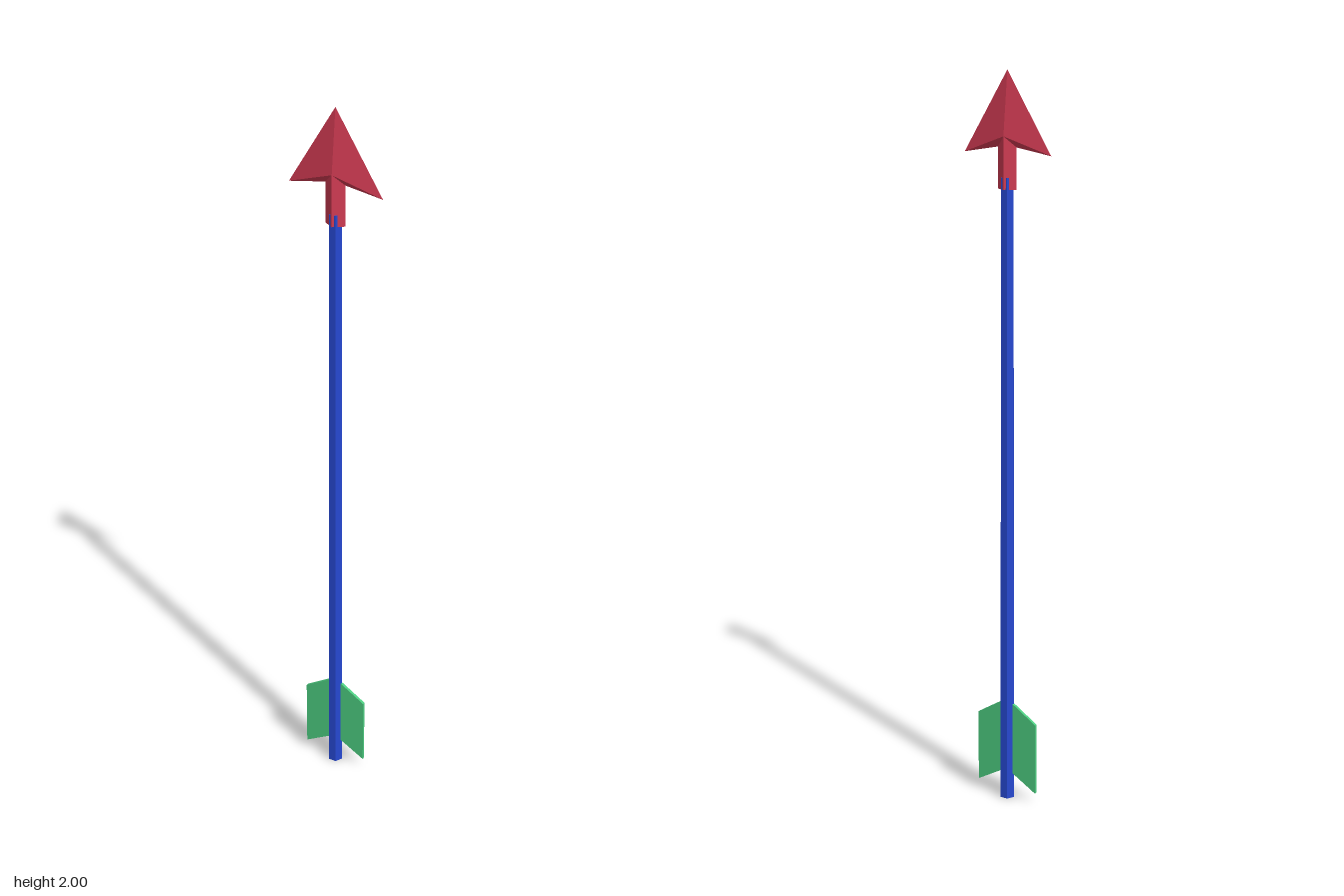
import * as THREE from 'three';

const paint = (color) => new THREE.MeshStandardMaterial({ color, flatShading: true, side: THREE.DoubleSide });

// Faceted geometry from triangles given as lists of corner points
function facets(triangles) {
  const geometry = new THREE.BufferGeometry();
  geometry.setAttribute('position', new THREE.Float32BufferAttribute(triangles.flat(2), 3));
  geometry.computeVertexNormals();
  return geometry;
}

// Barbed point and diamond-section socket, built from one quarter mirrored in x and z
function arrowheadGeometry() {
  const triangles = [];
  for (const sx of [1, -1]) {
    for (const sz of [1, -1]) {
      const tip = [0, 2, 0];
      const barb = [0.13 * sx, 1.79, 0];
      const ridge = [0, 1.835, 0.019 * sz];
      const neck = [0.028 * sx, 1.807, 0];
      const rimSide = [0.028 * sx, 1.7, 0];
      const rimFace = [0, 1.7, 0.019 * sz];
      const quarter = [
        [tip, ridge, barb],            // blade
        [ridge, neck, barb],           // underside of the barb
        [ridge, rimFace, neck],        // socket wall
        [rimFace, rimSide, neck],
        [rimFace, [0, 1.7, 0], rimSide], // socket end
      ];
      for (const [a, b, c] of quarter) triangles.push(sx * sz > 0 ? [a, b, c] : [a, c, b]);
    }
  }
  return facets(triangles);
}

// Swept-back fin plate on the +x side
function finGeometry() {
  const shape = new THREE.Shape([
    new THREE.Vector2(0, 0.085),
    new THREE.Vector2(0.093, 0.03),
    new THREE.Vector2(0.093, 0.235),
    new THREE.Vector2(0, 0.295),
  ]);
  const depth = 0.008;
  return new THREE.ExtrudeGeometry(shape, { depth, bevelEnabled: false }).translate(0, 0, -depth / 2);
}

export function createModel() {
  const model = new THREE.Group();
  model.name = 'arrow';
  const add = (name, geometry, material) => {
    const mesh = new THREE.Mesh(geometry, material);
    mesh.name = name;
    model.add(mesh);
    return mesh;
  };

  // Tapered six-sided shaft with edges on the x axis
  const length = 1.73;
  const shaft = new THREE.CylinderGeometry(0.018, 0.022, length, 6, 1, false, Math.PI / 6);
  add('shaft', shaft.translate(0, length / 2, 0), paint(0x2648d0));

  add('arrowhead', arrowheadGeometry(), paint(0xd43c54));

  // Two fins, the second turned half way round the shaft
  const green = paint(0x4ccc80);
  add('leftFin', finGeometry(), green);
  add('rightFin', finGeometry(), green).rotation.y = Math.PI;

  return model;
}
